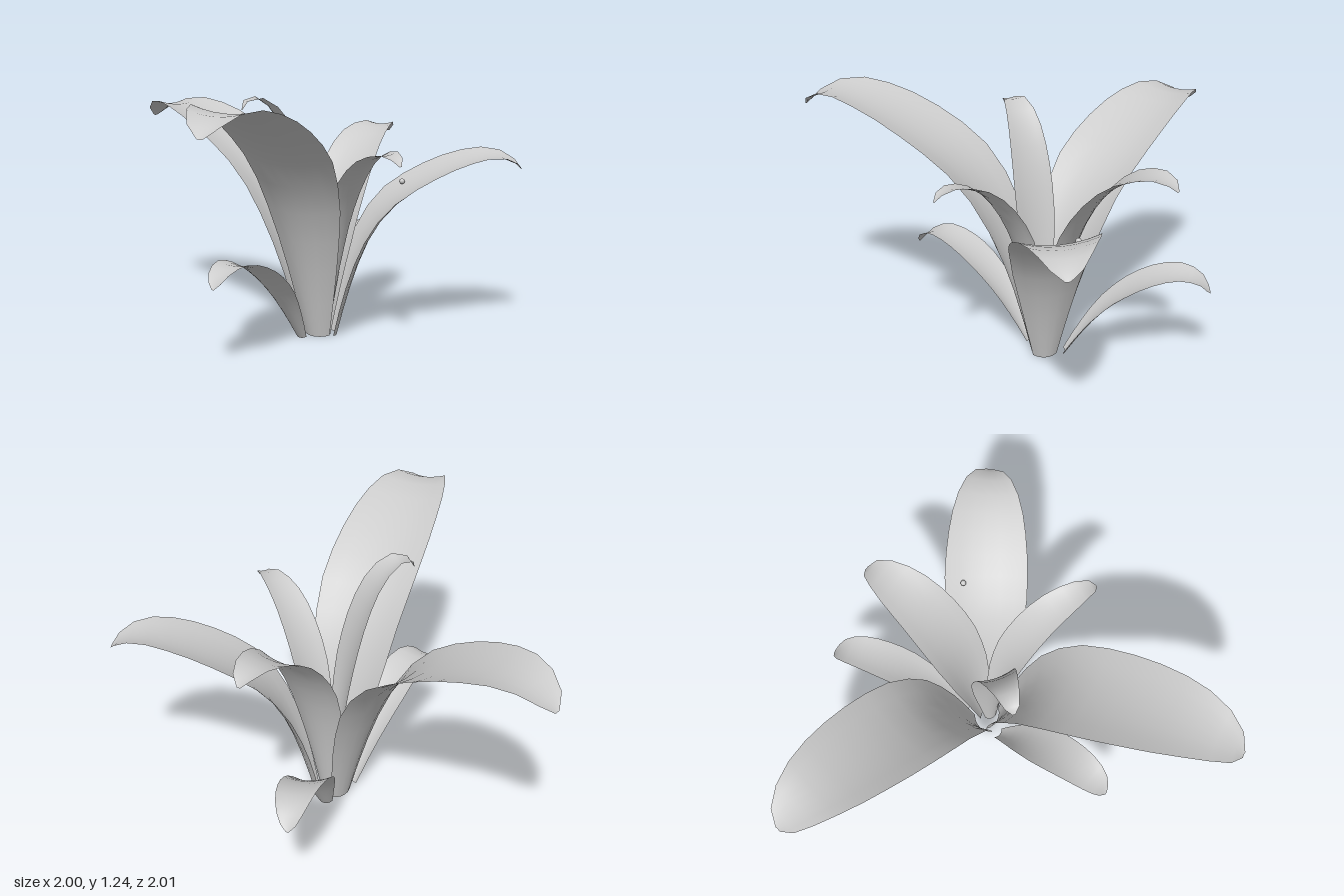
import * as THREE from 'three';

// Side profiles of a leaf: [outward, up] as fractions of reach and height
const TALL = [[0, 0], [0.05, 0.2], [0.11, 0.4], [0.18, 0.57], [0.27, 0.71], [0.38, 0.81], [0.57, 0.92], [0.75, 0.985], [0.85, 1], [0.94, 0.98], [1, 0.93]];
const INNER = [[0, 0], [0.05, 0.2], [0.11, 0.4], [0.18, 0.57], [0.27, 0.71], [0.39, 0.83], [0.57, 0.94], [0.75, 0.99], [0.86, 1], [0.95, 0.985], [1, 0.955]];
const LOW = [[0, 0], [0.12, 0.27], [0.26, 0.54], [0.41, 0.75], [0.56, 0.9], [0.7, 0.98], [0.8, 1], [0.92, 0.95], [1, 0.82]];

// Half width along the leaf, as a fraction of the widest
const WIDTH = [[0, 0.29], [0.2, 0.6], [0.35, 0.83], [0.5, 0.98], [0.63, 1], [0.78, 0.89], [0.88, 0.69], [0.95, 0.44], [0.985, 0.22], [1, 0.06]];

function widthAt(t) {
  let i = 0;
  while (i < WIDTH.length - 2 && WIDTH[i + 1][0] < t) i++;
  const [a, b] = [WIDTH[i], WIDTH[i + 1]];
  return THREE.MathUtils.lerp(a[1], b[1], (t - a[0]) / (b[0] - a[0]));
}

// One cupped blade, swept along its arching midrib and rolled a little about it
function leafGeometry({ base, tip, height, width, profile, roll = 0 }) {
  const start = new THREE.Vector3(base[0], 0.01, base[1]);
  const reach = new THREE.Vector3(tip[0] - base[0], 0, tip[1] - base[1]);
  const rib = new THREE.CatmullRomCurve3(profile.map(([u, v]) =>
    start.clone().addScaledVector(reach, u).setY(0.01 + v * (height - 0.01))));
  const level = new THREE.Vector3(0, 1, 0).cross(reach).normalize();
  const rows = 14, cols = 6, positions = [], index = [];
  for (let i = 0; i <= rows; i++) {
    const t = 1 - (1 - i / rows) ** 1.3; // closer rows toward the tip
    const p = rib.getPointAt(t), tangent = rib.getTangentAt(t);
    const side = level.clone().applyAxisAngle(tangent, roll);
    const normal = tangent.clone().cross(side);
    const cup = THREE.MathUtils.lerp(0.8, 0.32, Math.min(1, t * 1.6));
    const radius = widthAt(t) * width / 2 / Math.sin(cup);
    for (let j = 0; j <= cols; j++) {
      const a = cup * (2 * j / cols - 1);
      const v = p.clone().addScaledVector(side, radius * Math.sin(a))
        .addScaledVector(normal, radius * (1 - Math.cos(a)));
      positions.push(v.x, v.y, v.z);
      if (i < rows && j < cols) {
        const k = i * (cols + 1) + j, n = k + cols + 1;
        index.push(k, n, k + 1, k + 1, n, n + 1);
      }
    }
  }
  const geometry = new THREE.BufferGeometry();
  geometry.setAttribute('position', new THREE.Float32BufferAttribute(positions, 3));
  geometry.setIndex(index);
  geometry.computeVertexNormals();
  return geometry;
}

export function createModel() {
  const model = new THREE.Group();
  model.name = 'leafyPlant';
  const material = new THREE.MeshStandardMaterial({ color: 0xcccccc, side: THREE.DoubleSide });

  // base and tip are [x, z]
  const leaves = {
    frontLeaf: { base: [-0.01, -0.16], tip: [-0.315, 1], height: 1.22, width: 0.46, profile: TALL, roll: -0.04 },
    backRightLeaf: { base: [-0.06, -0.24], tip: [-0.99, -0.88], height: 1.11, width: 0.45, profile: TALL },
    leftLeaf: { base: [0.09, -0.23], tip: [0.99, -0.38], height: 0.905, width: 0.4, profile: TALL, roll: 0.08 },
    backUprightLeaf: { base: [0.03, -0.24], tip: [0.295, -0.815], height: 1.02, width: 0.295, profile: INNER },
    frontLeftLeaf: { base: [0.04, -0.2], tip: [0.43, 0.245], height: 0.975, width: 0.19, profile: INNER, roll: 0.12 },
    rightUprightLeaf: { base: [0, -0.19], tip: [-0.335, 0.01], height: 1.21, width: 0.2, profile: INNER },
    lowBackLeaf: { base: [0.02, -0.32], tip: [0.07, -1], height: 0.475, width: 0.21, profile: LOW, roll: 0.12 },
    lowFrontLeaf: { base: [-0.08, -0.13], tip: [-0.39, 0.465], height: 0.475, width: 0.21, profile: LOW },
  };
  for (const [name, spec] of Object.entries(leaves)) {
    const leaf = new THREE.Mesh(leafGeometry(spec), material);
    leaf.name = name;
    model.add(leaf);
  }

  // Small bead resting on the left leaf
  const bead = new THREE.Mesh(new THREE.SphereGeometry(0.014, 12, 8), material);
  bead.name = 'bead';
  bead.position.set(0.4, 0.768, -0.39);
  model.add(bead);
  return model;
}
